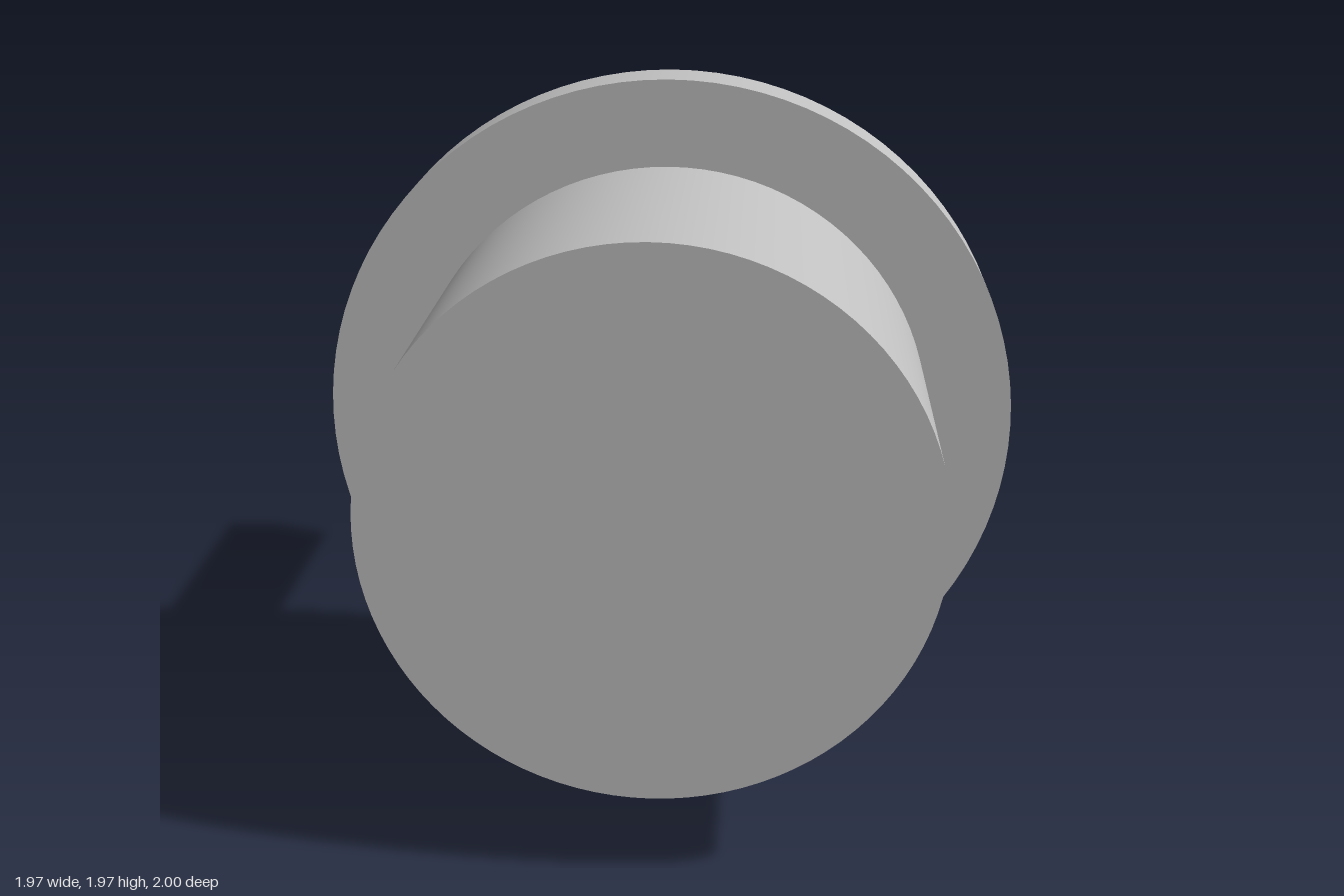
import * as THREE from 'three';

const CENTRE_Y = 0.985;

export function createModel() {
  const model = new THREE.Group();
  model.name = 'buttonCap';
  const grey = new THREE.MeshStandardMaterial({ name: 'light grey', color: 0xc0c0c0 });

  const add = (name, geometry, x, y, z) => {
    const mesh = new THREE.Mesh(geometry, grey);
    mesh.name = name;
    mesh.position.set(x, y, z);
    model.add(mesh);
  };

  // Disc with its axis along z, spanning back to front
  const disc = (name, radius, back, front) => {
    const geometry = new THREE.CylinderGeometry(radius, radius, front - back, 96);
    geometry.rotateX(Math.PI / 2);
    add(name, geometry, 0, CENTRE_Y, (back + front) / 2);
  };

  // Round cap in front of a wider flange
  disc('cap', 0.742, 0.15, 1);
  disc('flange', 0.983, -0.025, 0.15);

  // Two rectangular prongs behind the flange
  for (const [name, side] of [['leftProng', 1], ['rightProng', -1]]) {
    add(name, new THREE.BoxGeometry(0.176, 0.264, 0.975), side * 0.808, CENTRE_Y, -0.5125);
  }
  return model;
}
